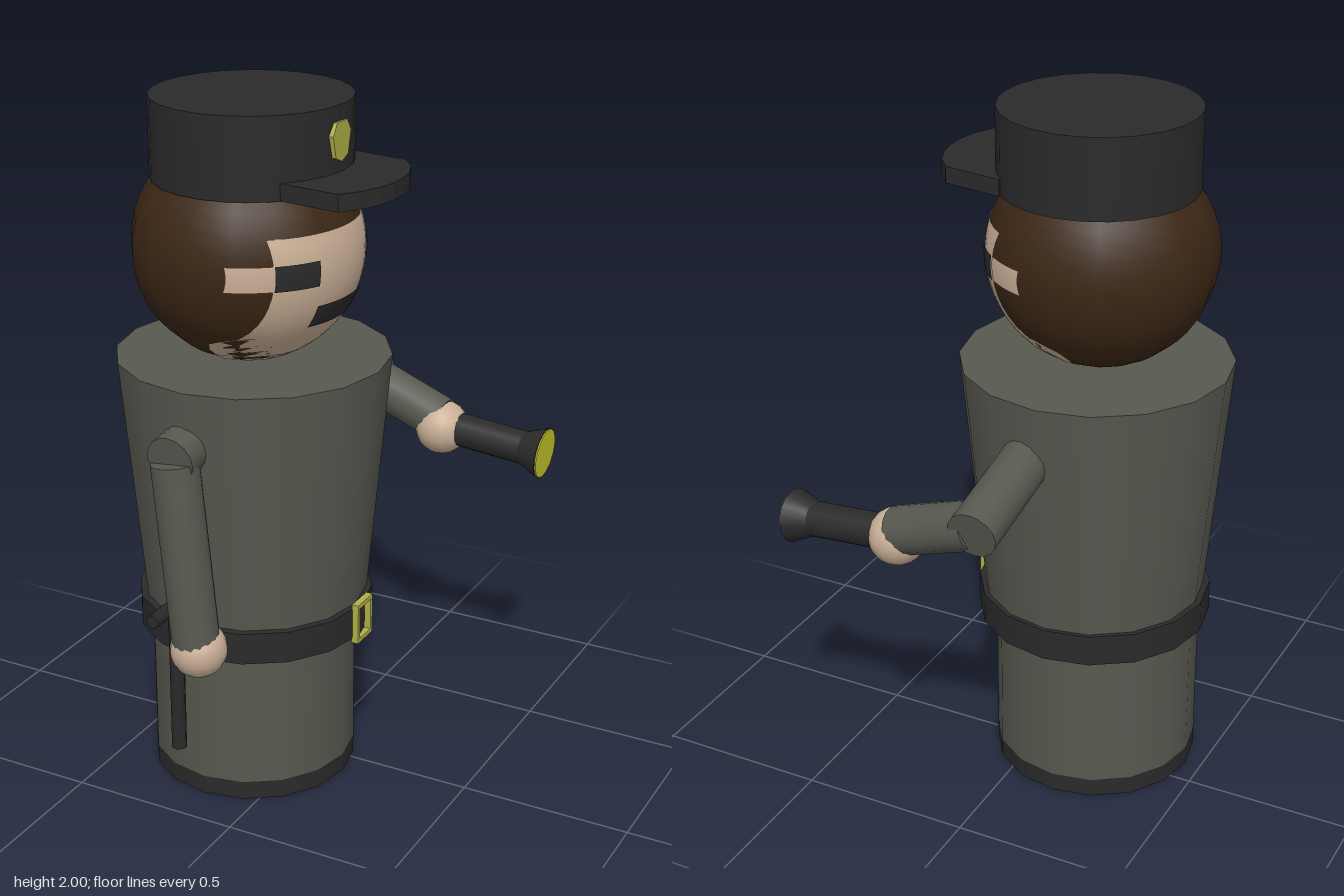
import * as THREE from 'three';

const mat = (color) => new THREE.MeshStandardMaterial({ color, side: THREE.DoubleSide });
const V = (x, y, z) => new THREE.Vector3(x, y, z);

export function createModel() {
  const group = new THREE.Group();
  const cloth = mat(0x57584f), dark = mat(0x2a2a2a), hair = mat(0x3c2715);
  const skin = mat(0xcbb097), brass = mat(0xb0b04a), glow = mat(0xc8c82c);

  const add = (name, geometry, material, x = 0, y = 0, z = 0) => {
    const mesh = new THREE.Mesh(geometry, material);
    mesh.name = name;
    mesh.position.set(x, y, z);
    group.add(mesh);
    return mesh;
  };
  // Upright tapered drum between two heights
  const drum = (name, material, x, z, y0, y1, r0, r1, sides = 16) =>
    add(name, new THREE.CylinderGeometry(r1, r0, y1 - y0, sides), material, x, (y0 + y1) / 2, z);
  // Rod between two points
  const rod = (name, material, a, b, r0, r1 = r0, sides = 16) => {
    const mesh = add(name, new THREE.CylinderGeometry(r1, r0, a.distanceTo(b), sides), material);
    mesh.position.copy(a).lerp(b, 0.5);
    mesh.quaternion.setFromUnitVectors(V(0, 1, 0), b.clone().sub(a).normalize());
    return mesh;
  };
  const ball = (name, material, p, r) =>
    add(name, new THREE.SphereGeometry(r, 16, 12), material, p.x, p.y, p.z);

  // Body
  drum('shoeBand', dark, -0.155, 0.08, 0, 0.055, 0.297, 0.297);
  drum('legs', cloth, -0.155, 0.08, 0.055, 0.5, 0.297, 0.297);
  drum('torso', cloth, -0.14, 0.085, 0.5, 1.275, 0.315, 0.386);
  drum('belt', dark, -0.14, 0.09, 0.47, 0.563, 0.338, 0.338);

  // Belt buckle frame
  const frame = new THREE.Shape([[-0.045, -0.06], [0.045, -0.06], [0.045, 0.06], [-0.045, 0.06]]
    .map(([x, y]) => new THREE.Vector2(x, y)));
  frame.holes.push(new THREE.Path([[-0.034, -0.047], [-0.034, 0.047], [0.034, 0.047], [0.034, -0.047]]
    .map(([x, y]) => new THREE.Vector2(x, y))));
  add('buckle', new THREE.ExtrudeGeometry(frame, { depth: 0.02, bevelEnabled: false }),
    brass, 0.19, 0.517, 0.077).rotation.y = Math.PI / 2;

  // Head
  const head = V(-0.147, 1.588, 0.1);
  const R = 0.32;
  add('hair', new THREE.SphereGeometry(R, 16, 24), hair, head.x, head.y, head.z);

  // Patch wrapped on the head: a z-y rectangle pushed out along +x
  const patch = (name, material, z0, z1, y0, y1, lift) => {
    const geo = new THREE.PlaneGeometry(1, 1, 16, 16);
    const pos = geo.attributes.position;
    const r = R + lift;
    for (let i = 0; i < pos.count; i++) {
      const dy = THREE.MathUtils.lerp(y0, y1, pos.getY(i) + 0.5) - head.y;
      const lim = Math.sqrt(Math.max(0, r * r - dy * dy));
      const dz = THREE.MathUtils.clamp(
        THREE.MathUtils.lerp(z1, z0, pos.getX(i) + 0.5) - head.z, -lim, lim);
      pos.setXYZ(i, Math.sqrt(Math.max(0, lim * lim - dz * dz)), dy, dz);
    }
    geo.computeVertexNormals();
    add(name, geo, material, head.x, head.y, head.z);
  };
  patch('face', skin, -0.14, 0.34, 1.27, 1.685, 0.002);
  patch('mouth', dark, -0.02, 0.225, 1.423, 1.487, 0.005);
  for (const s of [1, -1]) {
    patch('eye', dark, head.z + s * (s > 0 ? 0.135 : 0.24), head.z + s * (s > 0 ? 0.24 : 0.135),
      1.547, 1.617, 0.005);
    patch('temple', skin, head.z + s * (s > 0 ? 0.24 : 0.305), head.z + s * (s > 0 ? 0.305 : 0.24),
      1.547, 1.617, 0.003);
  }

  // Cap with visor and badge
  drum('cap', dark, -0.137, 0.088, 1.775, 2, 0.277, 0.277, 24);
  const visor = new THREE.Shape([[0.06, -0.112], [0.235, -0.085], [0.275, -0.035], [0.3, 0.025],
    [0.31, 0.08], [0.31, 0.14], [0.298, 0.2], [0.27, 0.26], [0.235, 0.307], [0.055, 0.285]]
    .map(([x, z]) => new THREE.Vector2(x, z)));
  add('visor', new THREE.ExtrudeGeometry(visor, { depth: 0.047, bevelEnabled: false }),
    dark, 0, 1.823, 0).rotation.x = Math.PI / 2;
  const badge = new THREE.Shape([[0, -0.057], [0.035, -0.042], [0.05, 0.018], [0.028, 0.05],
    [-0.028, 0.05], [-0.05, 0.018], [-0.035, -0.042]].map(([x, y]) => new THREE.Vector2(x, y)));
  add('badge', new THREE.ExtrudeGeometry(badge, { depth: 0.02, bevelEnabled: false }),
    brass, 0.124, 1.908, 0.108).rotation.y = Math.PI / 2;

  // Lowered arm
  rod('loweredShoulder', cloth, V(-0.155, 1.125, 0.3), V(-0.155, 1.095, 0.515), 0.07);
  rod('loweredArm', cloth, V(-0.155, 1.085, 0.49), V(-0.092, 0.56, 0.505), 0.067, 0.067);
  ball('loweredHand', skin, V(-0.09, 0.545, 0.497), 0.08);

  // Raised arm
  rod('raisedUpperArm', cloth, V(-0.09, 1.12, -0.15), V(-0.09, 1.018, -0.565), 0.071);
  rod('raisedForearm', cloth, V(-0.06, 1.01, -0.502), V(0.18, 0.925, -0.485), 0.069);
  ball('raisedHand', skin, V(0.185, 0.905, -0.48), 0.081);

  // Flashlight
  const tail = V(0.17, 0.912, -0.482), neck = V(0.45, 0.889, -0.477), tip = V(0.516, 0.884, -0.476);
  rod('flashlightHandle', dark, tail, neck, 0.05);
  rod('flashlightHead', dark, neck, tip, 0.05, 0.077);
  rod('flashlightLens', glow, tip, V(0.52, 0.8837, -0.476), 0.074);

  // Side-handled baton on the belt
  rod('baton', dark, V(-0.217, 0.155, 0.408), V(-0.217, 0.73, 0.408), 0.022, 0.022, 8);
  rod('batonHandle', dark, V(-0.217, 0.61, 0.408), V(-0.217, 0.61, 0.53), 0.02, 0.02, 8);

  return group;
}
